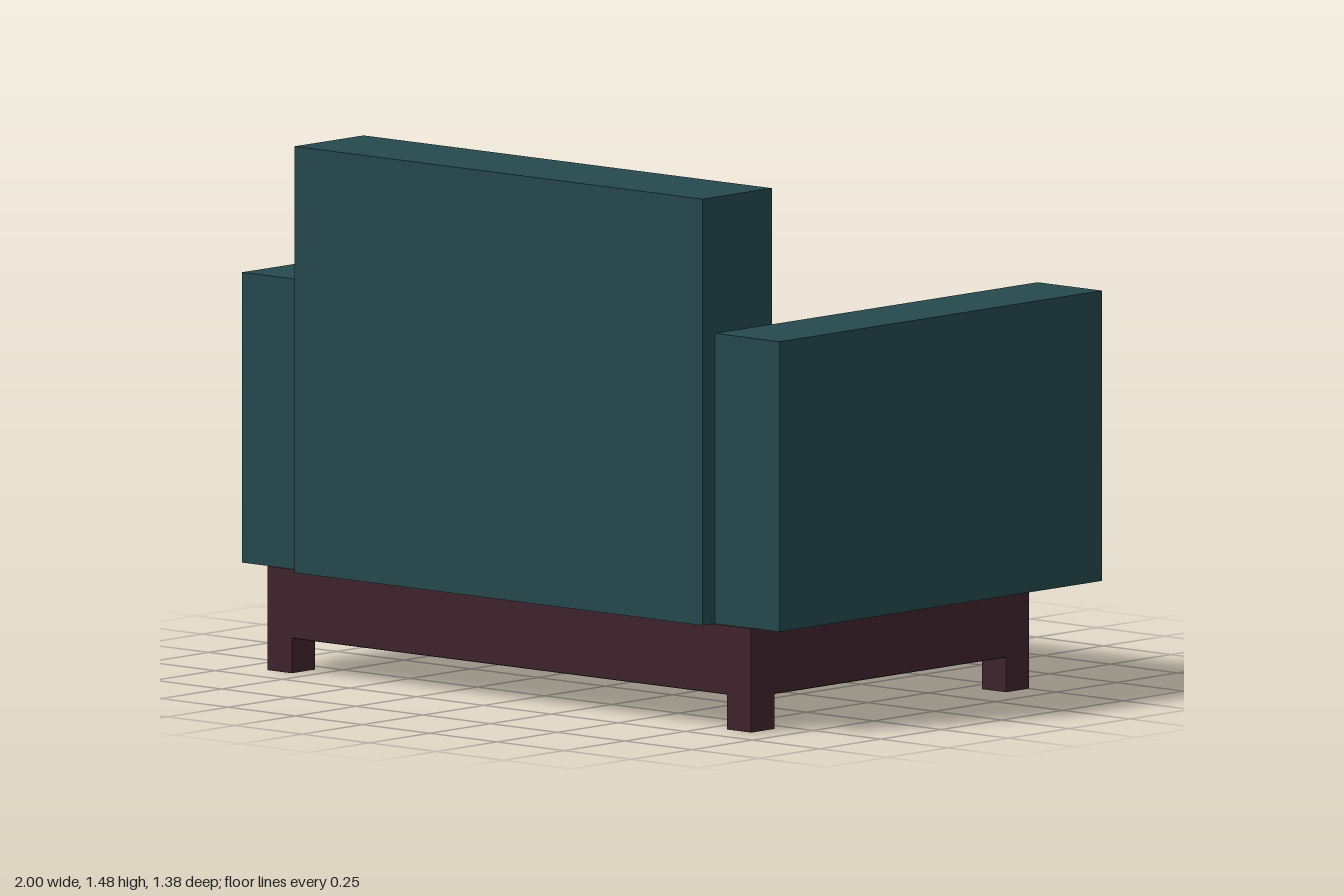
import * as THREE from 'three';

export function createModel() {
  const group = new THREE.Group();
  const fabric = new THREE.MeshStandardMaterial({ name: 'teal fabric', color: 0x25494d });
  const wood = new THREE.MeshStandardMaterial({ name: 'dark red wood', color: 0x40232d });
  const lining = new THREE.MeshStandardMaterial({ name: 'black lining', color: 0x111111 });

  // Box given by its lower and upper limits on each axis
  const box = (name, material, [x0, x1], [y0, y1], [z0, z1]) => {
    const mesh = new THREE.Mesh(new THREE.BoxGeometry(x1 - x0, y1 - y0, z1 - z0), material);
    mesh.position.set((x0 + x1) / 2, (y0 + y1) / 2, (z0 + z1) / 2);
    mesh.name = name;
    group.add(mesh);
  };

  // Upholstery
  box('seat', fabric, [-0.76, 0.76], [0.29, 0.71], [-0.6, 0.405]);
  box('backrest', fabric, [-0.76, 0.76], [0.29, 1.48], [0.405, 0.69]);
  box('leftArm', fabric, [0.76, 1], [0.29, 1.1], [-0.69, 0.64]);
  box('rightArm', fabric, [-1, -0.76], [0.29, 1.1], [-0.69, 0.64]);

  // Plinth with a dark lining underneath
  box('base', wood, [-0.9, 0.9], [0.1, 0.29], [-0.5, 0.645]);
  box('underside', lining, [-0.898, 0.898], [0.097, 0.1], [-0.498, 0.643]);

  // Four corner legs
  for (const [side, x] of [['Left', [0.81, 0.9]], ['Right', [-0.9, -0.81]]]) {
    box('front' + side + 'Leg', wood, x, [0, 0.1], [0.55, 0.645]);
    box('back' + side + 'Leg', wood, x, [0, 0.1], [-0.5, -0.405]);
  }
  return group;
}
